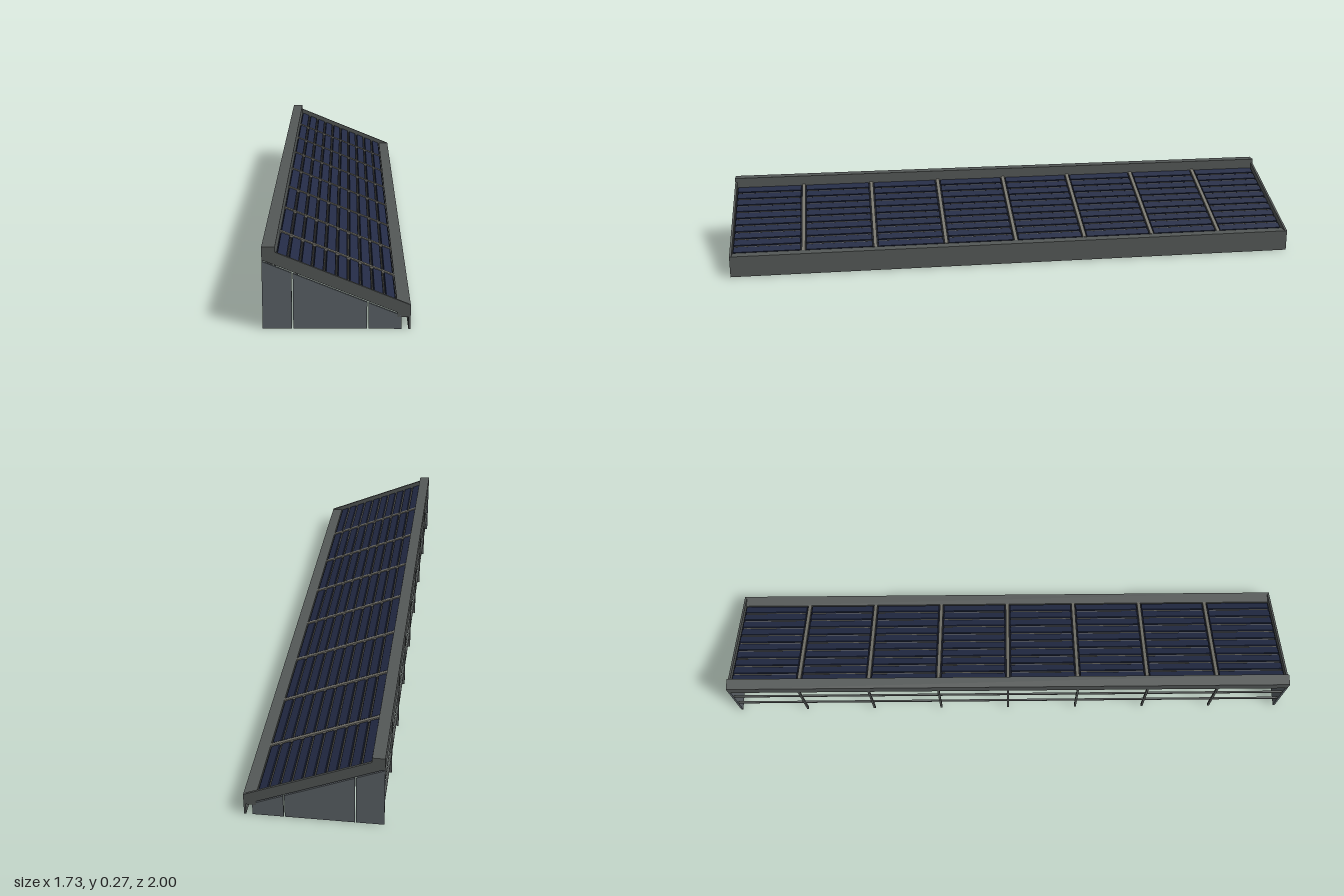
import * as THREE from 'three';

const mat = (name, color) => {
  const m = new THREE.MeshStandardMaterial({ color });
  m.name = name;
  return m;
};

export function createModel() {
  const steel = mat('dark steel', 0x545857);
  const wall = mat('wall panel grey', 0x5c6368);
  const trim = mat('divider grey', 0x77766e);
  const cell = mat('navy cell', 0x232b45);
  const backing = mat('dark backing', 0x171a24);

  const L = 2.185, HW = 0.2325, BAYS = 8, ROWS = 10;
  const slope = 0.19 / 0.465;
  const rimY = (z) => 0.175 - slope * z;

  const model = new THREE.Group();
  model.name = 'solarCanopy';
  const body = new THREE.Group();
  body.name = 'canopyBody';
  body.rotation.y = 0.897;
  model.add(body);

  const box = (parent, name, material, w, h, d, x, y, z) => {
    const m = new THREE.Mesh(new THREE.BoxGeometry(w, h, d), material);
    m.name = name;
    m.position.set(x, y, z);
    parent.add(m);
    return m;
  };

  // Plate drawn in (z, y) and given thickness along the length
  const endPlate = (name, material, pts, x, thickness) => {
    const shape = new THREE.Shape(pts.map(([z, y]) => new THREE.Vector2(-z, y)));
    const g = new THREE.ExtrudeGeometry(shape, { depth: thickness, bevelEnabled: false });
    g.translate(0, 0, -thickness / 2);
    g.rotateY(Math.PI / 2);
    const m = new THREE.Mesh(g, material);
    m.name = name;
    m.position.x = x;
    body.add(m);
  };

  // High beam, low beam and low fascia along the length
  box(body, 'highBeam', steel, L, 0.045, 0.042, 0, 0.2475, -HW + 0.021);
  box(body, 'lowBeam', steel, L, 0.04, 0.042, 0, 0.06, HW - 0.021);
  box(body, 'lowFascia', steel, L, 0.08, 0.007, 0, 0.04, HW - 0.0035);

  // Sloping end bands and end walls of three panels with narrow joints
  const joints = [-HW, -0.138, 0.098, 0.206];
  for (const side of [-1, 1]) {
    const x = side * (L / 2 - 0.004);
    endPlate('endBand', steel, [
      [-HW, rimY(-HW) - 0.042], [-HW, rimY(-HW)], [HW, rimY(HW)], [HW, rimY(HW) - 0.042],
    ], x, 0.008);
    for (let i = 0; i < 3; i++) {
      const a = joints[i] + (i ? 0.002 : 0), b = joints[i + 1] - 0.002;
      endPlate('endWallPanel', wall, [
        [a, 0], [a, rimY(a) - 0.047], [b, rimY(b) - 0.047], [b, 0],
      ], x, 0.008);
    }
  }

  // Thin posts under every divider
  const bay = L / BAYS;
  for (let i = 1; i < BAYS; i++) {
    const x = -L / 2 + i * bay;
    for (const z of [-0.228, -0.137, 0.112]) {
      const h = rimY(z) - 0.035;
      box(body, 'post', steel, 0.008, h, 0.008, x, h / 2, z);
    }
  }

  // Rails along the open high side
  for (const y of [0.085, 0.165]) {
    box(body, 'rail', steel, L - 0.016, 0.007, 0.007, 0, y, -0.228);
  }

  // Sloping roof deck
  const deck = new THREE.Group();
  deck.name = 'roofDeck';
  deck.rotation.x = Math.atan(slope);
  deck.position.y = rimY(0) - 0.018;
  body.add(deck);
  const D = 0.412;
  box(deck, 'deckUnderside', steel, L - 0.016, 0.01, D + 0.02, 0, -0.015, 0);
  box(deck, 'deckBacking', backing, L - 0.016, 0.004, D, 0, -0.008, 0);

  // Rows of cells in every bay, with a fine wire between rows
  const pitch = D / ROWS;
  for (let i = 0; i < BAYS; i++) {
    const x = -L / 2 + (i + 0.5) * bay;
    for (let r = 0; r < ROWS; r++) {
      const z = -D / 2 + (r + 0.5) * pitch;
      box(deck, 'cellRow', cell, bay - 0.022, 0.006, pitch - 0.011, x, -0.003, z);
      if (r) box(deck, 'rowWire', trim, bay - 0.03, 0.003, 0.003, x, -0.0045, z - pitch / 2);
    }
    if (i) box(deck, 'divider', trim, 0.013, 0.008, D, x - bay / 2, -0.002, 0);
  }

  return model;
}
